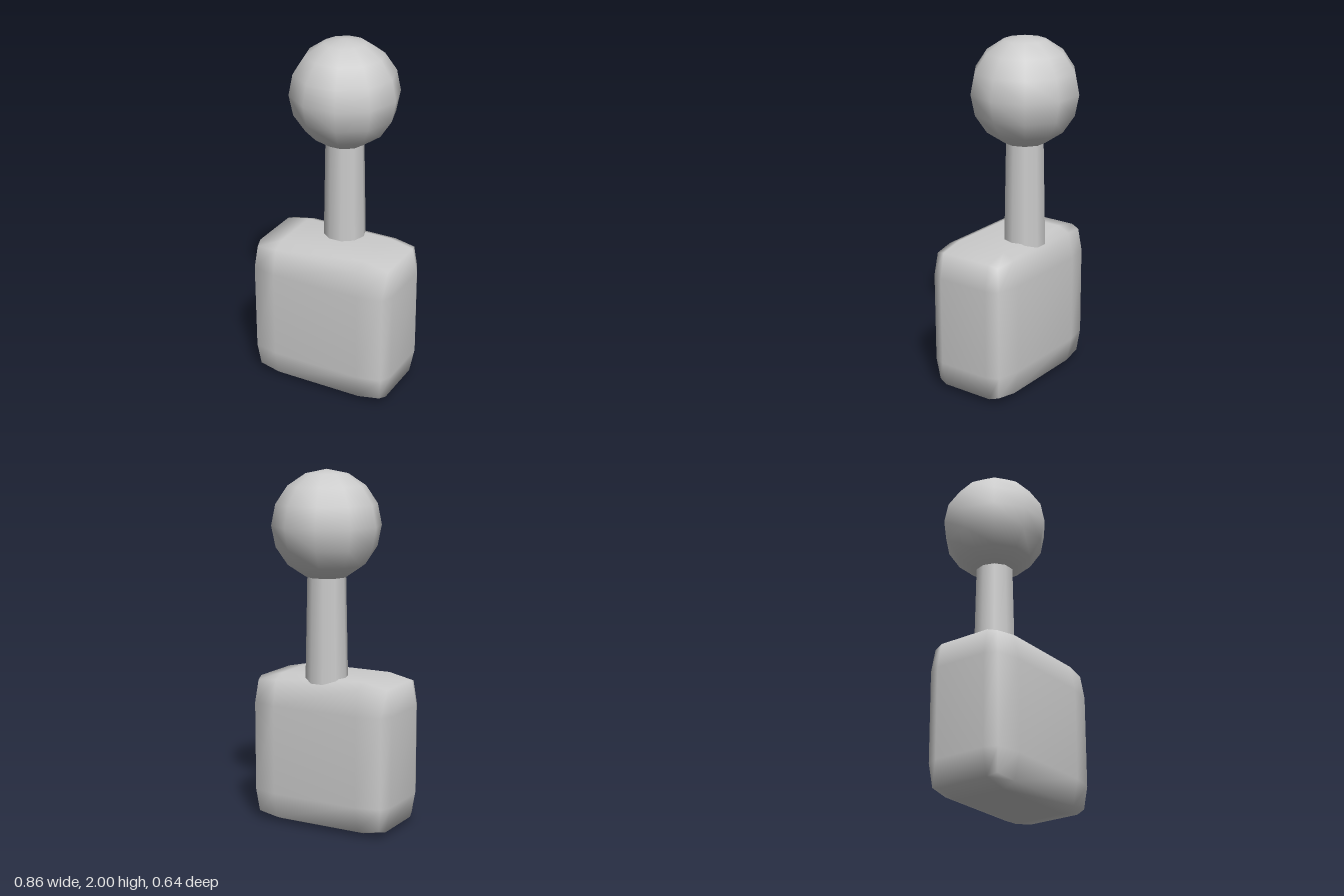
import * as THREE from 'three';
import { mergeVertices } from 'three/addons/utils/BufferGeometryUtils.js';

// Box of 3 x 3 x 3 cells whose edges and corners are pulled in to round it
function softBox(half, inner) {
  let geo = new THREE.BoxGeometry(2, 2, 2, 3, 3, 3);
  geo.deleteAttribute('uv');
  geo.deleteAttribute('normal');
  geo = mergeVertices(geo, 1e-3);
  const pos = geo.attributes.position;
  const pull = [0, 0, 0.03, 0.045]; // by number of outer coordinates: face, edge, corner
  for (let i = 0; i < pos.count; i++) {
    const p = [pos.getX(i), pos.getY(i), pos.getZ(i)];
    const outer = p.map((v) => Math.abs(v) > 0.9);
    const inset = pull[outer.filter(Boolean).length];
    const q = p.map((v, k) => Math.sign(v) * (outer[k] ? half[k] - inset : inner[k]));
    pos.setXYZ(i, ...q);
  }
  geo.computeVertexNormals();
  return geo;
}

export function createModel() {
  const model = new THREE.Group();
  model.name = 'figure';
  const grey = new THREE.MeshStandardMaterial({ color: 0xcccccc });
  grey.name = 'grey';

  const add = (name, geo, x, y, z) => {
    const mesh = new THREE.Mesh(geo, grey);
    mesh.name = name;
    mesh.position.set(x, y, z);
    model.add(mesh);
  };

  const axisZ = -0.035;

  // Rounded block at the bottom
  add('body', softBox([0.43, 0.43, 0.252], [0.26, 0.255, 0.153]), 0, 0.43, 0.069);

  // Slightly tapered ten-sided stem, sunk into the body and the head
  add('neck', new THREE.CylinderGeometry(0.107, 0.12, 0.63, 10, 1, true, Math.PI / 2), 0, 1.115, axisZ);

  // Ten-sided ball on top
  add('head', new THREE.SphereGeometry(0.303, 10, 8), 0, 1.697, axisZ);

  return model;
}
